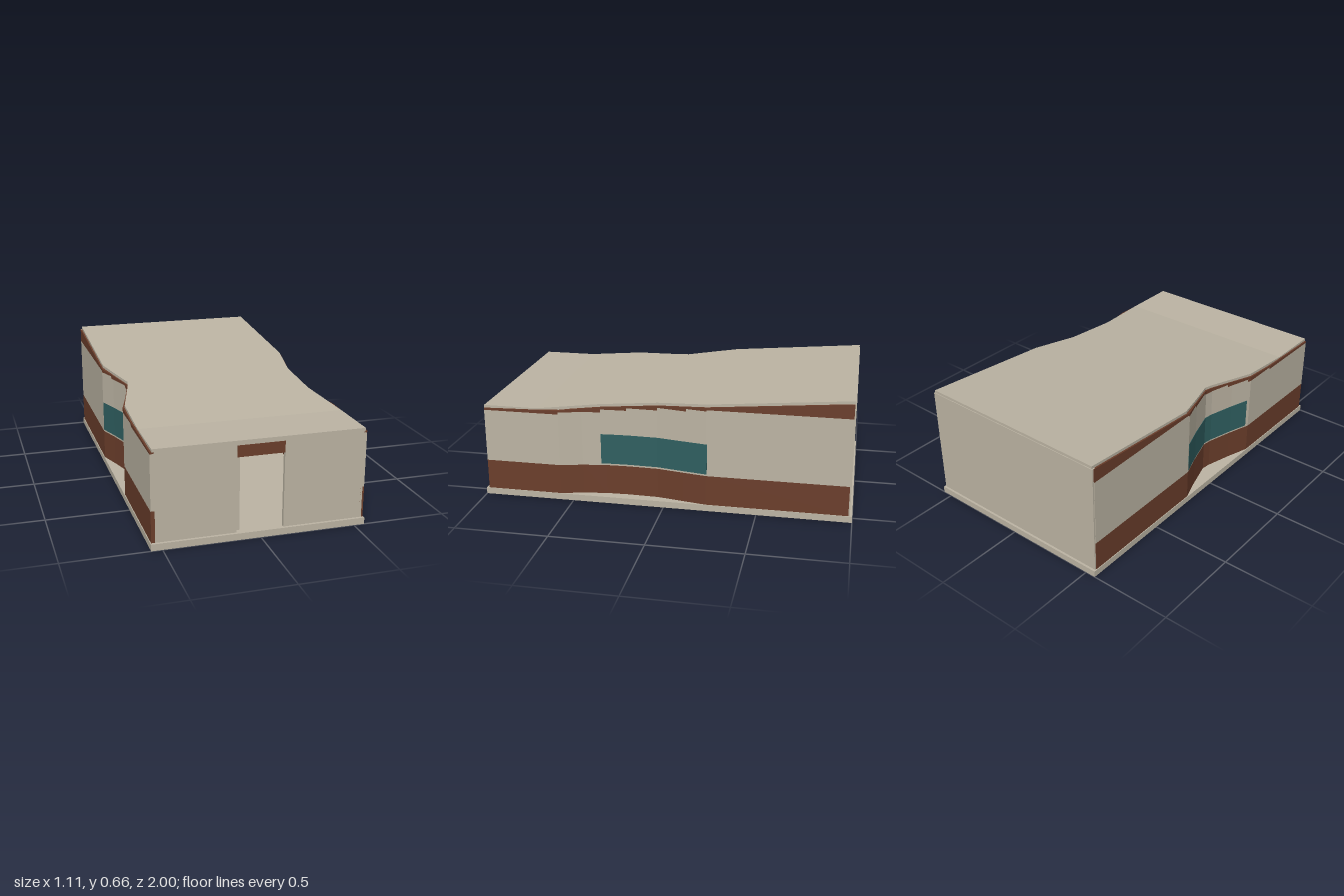
import * as THREE from 'three';

const cream = new THREE.MeshStandardMaterial({ color: 0xbdb5a4 });
cream.name = 'cream plaster';
const brown = new THREE.MeshStandardMaterial({ color: 0x6b3e2b });
brown.name = 'brown timber';
const teal = new THREE.MeshStandardMaterial({ color: 0x2f5f60 });
teal.name = 'teal glass';

// Wall outlines as [z, distance from the centre line]
const plans = {
  1: [[-0.98, 0.553], [-0.23, 0.553], [-0.1, 0.53], [0.04, 0.504], [0.2, 0.5], [0.32, 0.504], [0.45, 0.523], [0.57, 0.553], [0.985, 0.553]],
  [-1]: [[-0.98, 0.553], [-0.22, 0.553], [-0.1, 0.512], [0.05, 0.468], [0.1, 0.474], [0.24, 0.512], [0.37, 0.553], [0.985, 0.553]],
};
// Roof edges
const eaves = {
  1: [[-0.98, 0.544], [-0.23, 0.544], [0.04, 0.495], [0.35, 0.496], [0.45, 0.51], [0.69, 0.544], [0.985, 0.544]],
  [-1]: [[-0.98, 0.544], [-0.24, 0.544], [-0.1, 0.505], [0.05, 0.46], [0.1, 0.468], [0.24, 0.506], [0.38, 0.544], [0.985, 0.544]],
};

function sample(points, z) {
  for (let i = 1; i < points.length; i++) {
    const [z0, a] = points[i - 1], [z1, b] = points[i];
    if (z <= z1) return a + (b - a) * (z - z0) / (z1 - z0);
  }
  return points[points.length - 1][1];
}

const roofTop = (z) => 0.515 + Math.max(0, 0.69 - z) * 0.0868;
const roofUnder = (z) => roofTop(z) - 0.015;

// All bend positions lying between two ends
function stations(z0, z1, ...lists) {
  const inside = lists.flat().map((p) => p[0]).filter((z) => z > z0 + 1e-4 && z < z1 - 1e-4);
  return [...new Set([z0, ...inside, z1])].sort((a, b) => a - b);
}

// Solid built from rectangular cross-sections along z
function loft(name, material, zs, xMax, xMin, yBottom, yTop) {
  const rings = zs.map((z) => [
    [xMax(z), yBottom(z), z], [xMax(z), yTop(z), z], [xMin(z), yTop(z), z], [xMin(z), yBottom(z), z],
  ]);
  const pos = [];
  const quad = (a, b, c, d) => pos.push(...a, ...b, ...c, ...a, ...c, ...d);
  for (let i = 0; i < rings.length - 1; i++) {
    for (let k = 0; k < 4; k++) {
      const n = (k + 1) % 4;
      quad(rings[i][k], rings[i][n], rings[i + 1][n], rings[i + 1][k]);
    }
  }
  const [a, b, c, d] = rings[0];
  quad(d, c, b, a);
  quad(...rings[rings.length - 1]);
  const geometry = new THREE.BufferGeometry();
  geometry.setAttribute('position', new THREE.Float32BufferAttribute(pos, 3));
  geometry.computeVertexNormals();
  const mesh = new THREE.Mesh(geometry, material);
  mesh.name = name;
  return mesh;
}

// Box given by its limits
function block(name, material, x0, x1, y0, y1, z0, z1) {
  const mesh = new THREE.Mesh(new THREE.BoxGeometry(x1 - x0, y1 - y0, z1 - z0), material);
  mesh.position.set((x0 + x1) / 2, (y0 + y1) / 2, (z0 + z1) / 2);
  mesh.name = name;
  return mesh;
}

// Strip of side wall that follows the outline
function wallBand(name, material, side, z0, z1, y0, y1, proud = 0, depth = 0.02) {
  const outer = (z) => side * (sample(plans[side], z) + proud);
  const inner = (z) => side * (sample(plans[side], z) + proud - depth);
  const [xMax, xMin] = side > 0 ? [outer, inner] : [inner, outer];
  return loft(name, material, stations(z0, z1, plans[side]), xMax, xMin, y0, y1);
}

export function createModel() {
  const model = new THREE.Group();
  model.name = 'building';

  model.add(block('baseSlab', cream, -0.557, 0.557, 0, 0.035, -1, 1));

  // Side walls: brown plinth, plaster, stepped brown top band, window
  const steps = [[-0.98, -0.23, 0.567], [-0.23, -0.12, 0.56], [-0.12, 0.04, 0.546], [0.04, 0.21, 0.531],
    [0.21, 0.35, 0.517], [0.35, 0.57, 0.502], [0.57, 0.985, 0.49]];
  for (const side of [1, -1]) {
    const wall = new THREE.Group();
    wall.name = side > 0 ? 'leftWall' : 'rightWall';
    wall.add(wallBand('plinth', brown, side, -0.98, 0.985, () => 0.035, () => 0.2));
    for (const [z0, z1, h] of steps) {
      wall.add(wallBand('plasterPanel', cream, side, z0, z1, () => 0.2, () => h));
      wall.add(wallBand('topBand', brown, side, z0, z1, () => h, roofUnder));
    }
    const z0 = side > 0 ? -0.235 : -0.215;
    wall.add(wallBand('window', teal, side, z0, 0.35, () => 0.21, () => 0.378, 0.002, 0.008));
    // Inner face of the window
    wall.add(wallBand('windowInside', teal, side, z0, 0.35, () => 0.21, () => 0.378, -0.016, 0.006));
    model.add(wall);
  }

  // Front wall around the doorway
  model.add(block('frontWall', cream, -0.544, -0.122, 0.035, 0.49, 0.965, 0.985));
  model.add(block('frontWall', cream, 0.122, 0.544, 0.035, 0.49, 0.965, 0.985));
  model.add(block('doorLintel', brown, -0.122, 0.122, 0.43, 0.49, 0.965, 0.987));
  model.add(block('frontFascia', cream, -0.544, 0.544, 0.49, 0.502, 0.965, 0.985));

  // Door leaf standing open, and an inner partition
  model.add(block('doorLeaf', cream, -0.122, -0.102, 0.038, 0.43, 0.73, 0.965));
  model.add(block('innerPartition', brown, -0.011, 0.011, 0.035, 0.42, -0.96, -0.3));

  model.add(block('backWall', cream, -0.55, 0.55, 0.035, 0.645, -0.988, -0.968));

  // Sloping roof
  model.add(loft('roof', cream, stations(-0.985, 0.987, eaves[1], eaves[-1], [[0.69]]),
    (z) => sample(eaves[1], Math.max(z, -0.98)), (z) => -sample(eaves[-1], Math.max(z, -0.98)), roofUnder, roofTop));

  return model;
}
